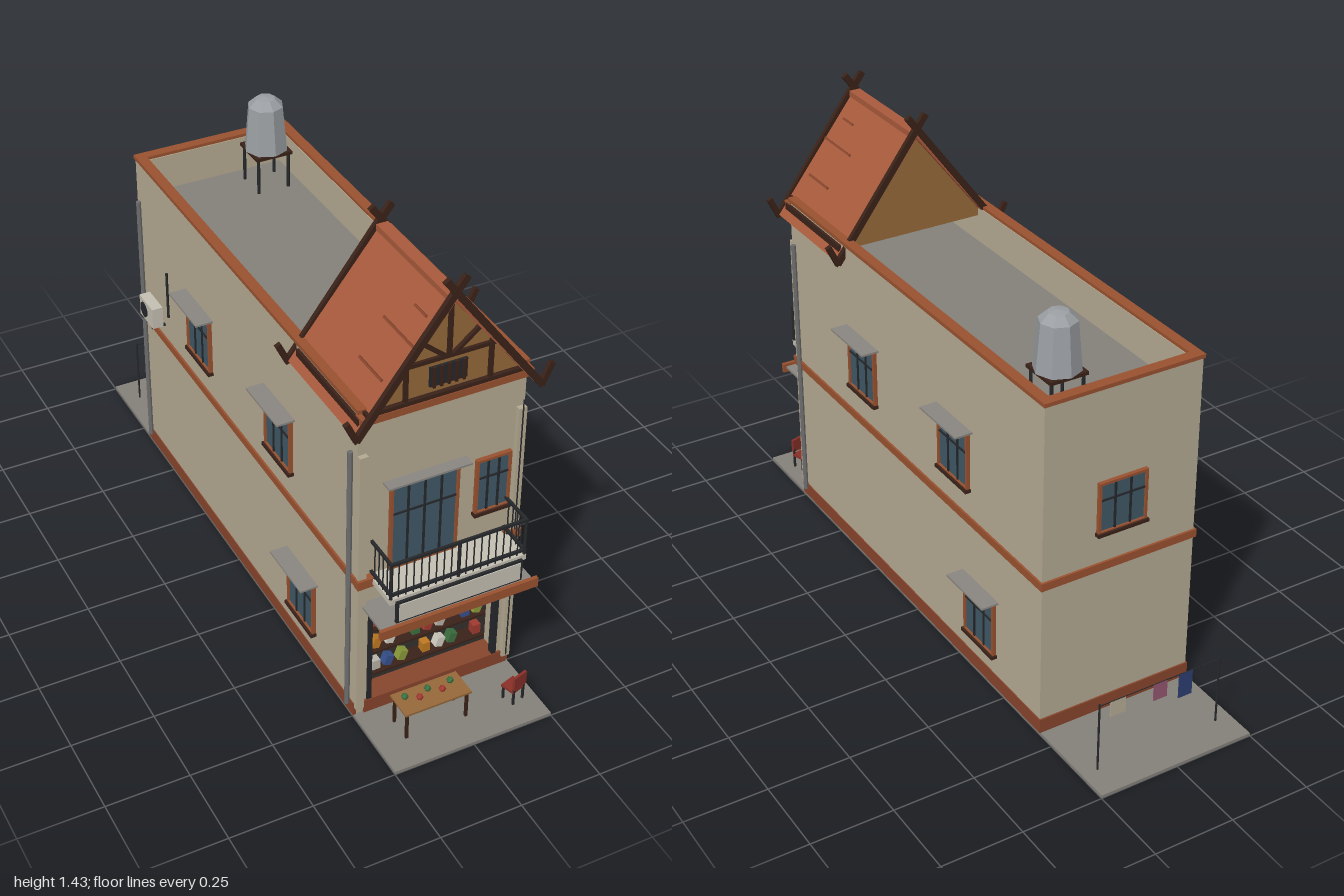
import * as THREE from 'three';

const C = { wall: 0xb5aa92, clay: 0x9a5230, plinth: 0x87452c, roof: 0xa85a3c, wood: 0x96693a, dark: 0x3a2218, iron: 0x25272a,
  glass: 0x3f5866, grey: 0x8a8782, slab: 0x85817b, pipe: 0x6d6d6d, shop: 0x35302d, pale: 0xc4bfb2, tank: 0x9b9fa3, red: 0x8a3028 };
const mats = {};
function mat(color) {
  return mats[color] ??= new THREE.MeshStandardMaterial({ color, flatShading: true, side: THREE.DoubleSide });
}
function add(parent, name, geo, color, x = 0, y = 0, z = 0) {
  const m = new THREE.Mesh(geo, mat(color));
  m.name = name;
  m.position.set(x, y, z);
  parent.add(m);
  return m;
}
// Box given by its extents on each axis
function box(parent, name, color, x0, x1, y0, y1, z0, z1) {
  return add(parent, name, new THREE.BoxGeometry(x1 - x0, y1 - y0, z1 - z0), color, (x0 + x1) / 2, (y0 + y1) / 2, (z0 + z1) / 2);
}
// Beam lying in an xy plane between two points
function beam(parent, name, color, [ax, ay], [bx, by], thick, depth, z) {
  const m = add(parent, name, new THREE.BoxGeometry(thick, Math.hypot(bx - ax, by - ay), depth), color, (ax + bx) / 2, (ay + by) / 2, z);
  m.rotation.z = Math.atan2(ax - bx, by - ay);
  return m;
}
function rod(parent, name, color, a, b, r = 0.003, sides = 6) {
  const p = new THREE.Vector3(...a), q = new THREE.Vector3(...b), d = q.clone().sub(p);
  const m = add(parent, name, new THREE.CylinderGeometry(r, r, d.length(), sides), color);
  m.position.copy(p).add(q).multiplyScalar(0.5);
  m.quaternion.setFromUnitVectors(new THREE.Vector3(0, 1, 0), d.normalize());
}
function group(parent, name) {
  const g = new THREE.Group();
  g.name = name;
  parent.add(g);
  return g;
}
// Framed window facing its own +z; (0, 0) is the middle of the pane
function makeWindow(parent, name, w, h, bars, x, y, z, turn, awning = 0.055, awningW = w + 0.04, sill = true) {
  const g = group(parent, name), a = w / 2, b = h / 2, t = 0.008;
  box(g, 'pane', C.glass, -a, a, -b, b, -0.005, 0.004);
  for (const s of [-1, 1]) {
    box(g, 'jamb', C.clay, s * a - t / 2, s * a + t / 2, -b, b, -0.005, 0.01);
    box(g, 'rail', C.clay, -a - t / 2, a + t / 2, s * b - t / 2, s * b + t / 2, -0.005, 0.01);
  }
  for (let i = 1; i <= bars; i++) {
    const bx = -a + (w * i) / (bars + 1);
    box(g, 'mullion', C.iron, bx - 0.003, bx + 0.003, -b, b, 0, 0.008);
  }
  box(g, 'crossBar', C.iron, -a, a, b * 0.28, b * 0.28 + 0.005, 0, 0.008);
  if (sill) box(g, 'sill', C.dark, -a - 0.008, a + 0.008, -b - 0.01, -b, -0.005, 0.016);
  if (awning) box(g, 'awning', C.grey, -awningW / 2, awningW / 2, b + 0.012, b + 0.018, 0, awning);
  g.position.set(x, y, z);
  g.rotation.y = turn;
}

function makeShell(root) {
  const g = group(root, 'building');
  box(g, 'ground', C.slab, -0.25, 0.25, 0, 0.01, -1, 1);
  box(g, 'mainBody', C.wall, -0.25, 0.25, 0.01, 0.95, -0.69, 0.69);
  box(g, 'flatRoof', C.slab, -0.22, 0.22, 0.95, 0.955, -0.66, 0.74);
  box(g, 'upperFront', C.wall, -0.25, 0.25, 0.39, 0.95, 0.69, 0.755);
  for (const s of [-1, 1]) {
    const l = Math.min(s * 0.25, s * 0.21), r = Math.max(s * 0.25, s * 0.21);
    box(g, 'shopJamb', C.wall, l, r, 0.01, 0.39, 0.69, 0.755);
    box(g, 'pilaster', C.wall, s > 0 ? 0.225 : -0.25, s > 0 ? 0.25 : -0.225, 0.04, 0.93, 0.755, 0.77);
    box(g, 'sideParapet', C.wall, s * 0.235 - 0.015, s * 0.235 + 0.015, 0.95, 1.068, -0.69, 0.755);
    box(g, 'sideCoping', C.clay, s * 0.238 - 0.016, s * 0.238 + 0.016, 1.066, 1.078, -0.695, 0.76);
    box(g, 'sideBand', C.clay, s * 0.25 - 0.006, s * 0.25 + 0.006, 0.495, 0.52, -0.697, 0.757);
    box(g, 'sidePlinth', C.plinth, s * 0.248 - 0.005, s * 0.248 + 0.005, 0.01, 0.055, -0.695, 0.757);
    box(g, 'endParapet', C.wall, -0.22, 0.22, 0.95, 1.068, s > 0 ? 0.725 : -0.69, s > 0 ? 0.755 : -0.66);
    box(g, 'endCoping', C.clay, -0.25, 0.25, 1.066, 1.078, s > 0 ? 0.728 : -0.695, s > 0 ? 0.76 : -0.663);
    box(g, 'frontBand', C.clay, s > 0 ? 0.2 : -0.255, s > 0 ? 0.255 : -0.2, 0.49, 0.518, 0.755, 0.778);
    rod(g, 'downpipe', C.pipe, [s * 0.258, 0.04, 0.73], [s * 0.258, 0.93, 0.73], 0.008, 8);
  }
  rod(g, 'rearDownpipe', C.pipe, [-0.258, 0.04, -0.665], [-0.258, 0.93, -0.665], 0.008, 8);
  rod(g, 'cable', C.iron, [0.235, 0.05, 0.774], [0.235, 0.96, 0.774], 0.002);
  box(g, 'backBand', C.clay, -0.25, 0.25, 0.495, 0.52, -0.697, -0.685);
  box(g, 'backPlinth', C.plinth, -0.25, 0.25, 0.01, 0.055, -0.695, -0.685);
  box(g, 'frontPlinth', C.plinth, -0.22, 0.245, 0.01, 0.055, 0.69, 0.762);

  // Side, back and balcony windows
  const q = Math.PI / 2;
  for (const [s, y, h, zs] of [[1, 0.7, 0.175, [0.3, -0.235]], [1, 0.213, 0.175, [-0.375]], [-1, 0.7, 0.175, [0.3, -0.235]], [-1, 0.213, 0.175, [0.44]]])
    for (const z of zs) makeWindow(g, 'sideWindow', 0.155, h, 2, s * 0.252, y, z, s * q);
  makeWindow(g, 'backWindow', 0.15, 0.155, 2, 0, 0.7, -0.692, Math.PI, 0);
  makeWindow(g, 'balconyDoor', 0.2, 0.28, 3, -0.05, 0.662, 0.758, 0, 0.035, 0.25, false);
  makeWindow(g, 'frontWindow', 0.1, 0.175, 2, 0.16, 0.703, 0.758, 0, 0);
}

function makeGable(root) {
  const g = group(root, 'gableRoof'), z0 = 0.4, z1 = 0.79, mid = (z0 + z1) / 2;
  for (const s of [-1, 1]) {
    beam(g, 'roofSlope', C.roof, [s * 0.27, 1.012], [0, 1.36], 0.014, z1 - z0, mid);
    box(g, 'eaveBeam', C.dark, s * 0.247 - 0.012, s * 0.247 + 0.012, 1.035, 1.058, 0.42, 0.77);
    for (const z of [z0, z1]) {
      beam(g, 'bargeboard', C.dark, [s * 0.275, 1.01], [-s * 0.03, 1.42], 0.02, 0.014, z);
      beam(g, 'upturnedTip', C.dark, [s * 0.272, 1.008], [s * 0.303, 1.073], 0.017, 0.014, z);
    }
    // A few raised tiles on each slope
    for (const [t, len, z] of [[0.35, 0.12, 0.69], [0.62, 0.16, 0.7], [0.8, 0.06, 0.72]])
      beam(g, 'raisedTile', C.plinth, [s * (0.275 * (1 - t) + 0.004), 1.016 + 0.35 * t], [s * (0.275 * (0.985 - t) + 0.004), 1.016 + 0.35 * (t + 0.015)], 0.009, len, z);
  }
  box(g, 'ridge', C.roof, -0.018, 0.018, 1.352, 1.37, z0, z1);
  const tri = new THREE.Shape([[-0.245, 1.04], [0.245, 1.04], [0, 1.352]].map(p => new THREE.Vector2(...p)));
  for (const z of [0.42, 0.755]) add(g, 'gablePanel', new THREE.ExtrudeGeometry(tri, { depth: 0.012, bevelEnabled: false }), C.wood, 0, 0, z);
  // Front timbering
  const z = 0.772;
  box(g, 'frontBeam', C.clay, -0.255, 0.255, 1.04, 1.062, 0.75, 0.782);
  box(g, 'tieBeam', C.dark, -0.24, 0.24, 1.06, 1.074, 0.76, 0.78);
  box(g, 'collarBeam', C.dark, -0.14, 0.14, 1.172, 1.184, 0.76, 0.776);
  box(g, 'kingPost', C.dark, -0.006, 0.006, 1.184, 1.35, 0.76, 0.776);
  for (const s of [-1, 1]) {
    beam(g, 'strut', C.dark, [s * 0.012, 1.18], [s * 0.09, 1.245], 0.011, 0.012, z);
    beam(g, 'post', C.dark, [s * 0.125, 1.07], [s * 0.125, 1.19], 0.011, 0.012, z);
  }
  box(g, 'vent', C.iron, -0.055, 0.055, 1.095, 1.155, 0.765, 0.774);
  for (let i = -2; i <= 2; i++) box(g, 'ventSlat', C.dark, i * 0.022 - 0.004, i * 0.022 + 0.004, 1.093, 1.157, 0.77, 0.78);
}

function makeShop(root) {
  const g = group(root, 'shopFront');
  box(g, 'shopBack', C.shop, -0.21, 0.21, 0.055, 0.39, 0.69, 0.694);
  for (const s of [-1, 1]) box(g, 'doorPost', C.iron, s * 0.203 - 0.007, s * 0.203 + 0.007, 0.055, 0.39, 0.74, 0.76);
  box(g, 'shutterBox', C.iron, -0.21, 0.21, 0.378, 0.392, 0.73, 0.765);
  const goods = [0xb8b4a8, 0x3c7040, 0xc07a22, 0x35508c, 0xa03a30, 0xd0ccc0, 0x8a9a3a];
  const rows = [[-0.165, -0.125, -0.08, -0.005, 0.04, 0.08, 0.16], [-0.165, -0.12, -0.04, 0, 0.04, 0.12, 0.16], [-0.165, -0.085, -0.045, 0, 0.08, 0.12, 0.16]];
  rows.forEach((xs, r) => {
    const y = 0.118 + 0.081 * r;
    box(g, 'shelf', C.dark, -0.18, 0.18, y, y + 0.006, 0.694, 0.74);
    xs.forEach((x, i) => {
      const m = box(g, 'goods', goods[(i * 3 + r * 2) % 7], x - 0.012, x + 0.012, y + 0.008, y + 0.04, 0.705, 0.73);
      m.rotation.z = (i + r) % 3 ? -0.35 : 0;
    });
  });
  // Canopy and blank sign board
  box(g, 'canopy', C.grey, -0.235, 0.235, 0.413, 0.421, 0.755, 0.885);
  box(g, 'canopyEdge', C.clay, -0.245, 0.245, 0.4, 0.43, 0.88, 0.892);
  box(g, 'signFrame', C.iron, -0.195, 0.195, 0.437, 0.508, 0.876, 0.884);
  box(g, 'signPanel', C.pale, -0.187, 0.187, 0.444, 0.501, 0.88, 0.887);
  // Table with greens, and a red chair
  box(g, 'tableTop', C.wood, -0.17, 0.04, 0.1, 0.107, 0.82, 0.91);
  for (const x of [-0.16, 0.03]) for (const z of [0.83, 0.9]) box(g, 'tableLeg', C.dark, x - 0.004, x + 0.004, 0.01, 0.1, z - 0.004, z + 0.004);
  for (let i = 0; i < 5; i++) add(g, 'greens', new THREE.IcosahedronGeometry(0.011, 0), [0x3c7040, 0xa03a30][i % 2], -0.14 + i * 0.036, 0.115, 0.85 + (i % 2) * 0.02);
  const chair = group(g, 'chair');
  box(chair, 'seat', C.red, -0.025, 0.025, 0.045, 0.053, -0.025, 0.02);
  box(chair, 'chairBack', C.red, -0.025, 0.025, 0.06, 0.105, 0.016, 0.024);
  for (const x of [-0.02, 0.02]) for (const z of [-0.02, 0.018]) box(chair, 'chairLeg', C.iron, x - 0.003, x + 0.003, 0, z > 0 ? 0.07 : 0.05, z - 0.003, z + 0.003);
  chair.position.set(0.185, 0.008, 0.9);
  chair.rotation.y = 0.3;
}

function makeBalcony(root) {
  const g = group(root, 'balcony');
  box(g, 'balconyFloor', C.pale, -0.21, 0.21, 0.498, 0.516, 0.755, 0.875);
  for (const y of [0.53, 0.634]) {
    box(g, 'frontRail', C.iron, -0.21, 0.21, y - 0.004, y + 0.004, 0.866, 0.874);
    for (const s of [-1, 1]) box(g, 'sideRail', C.iron, s * 0.206 - 0.004, s * 0.206 + 0.004, y - 0.004, y + 0.004, 0.76, 0.87);
  }
  for (let i = 0; i <= 18; i++) rod(g, 'baluster', C.iron, [-0.206 + i * 0.0229, 0.516, 0.87], [-0.206 + i * 0.0229, 0.636, 0.87], i % 9 ? 0.002 : 0.005);
  for (const s of [-1, 1]) for (let i = 0; i < 4; i++) rod(g, 'sideBaluster', C.iron, [s * 0.206, 0.516, 0.78 + i * 0.023], [s * 0.206, 0.636, 0.78 + i * 0.023], 0.002);
}

function makeExtras(root) {
  // Rooftop water tank on a stand
  const t = group(root, 'waterTank');
  const profile = [[0, 0], [0.068, 0], [0.055, 0.145], [0.03, 0.168], [0, 0.172]].map(p => new THREE.Vector2(...p));
  add(t, 'tank', new THREE.LatheGeometry(profile, 8), C.tank, 0, 1.08, 0);
  box(t, 'stand', C.dark, -0.06, 0.06, 1.07, 1.08, -0.06, 0.06);
  for (const x of [-0.05, 0.05]) for (const z of [-0.05, 0.05]) rod(t, 'standLeg', C.iron, [x, 0.95, z], [x, 1.07, z], 0.005);
  t.position.set(0.125, 0, -0.555);

  // Air conditioner on the right wall
  const a = group(root, 'airConditioner');
  box(a, 'casing', C.pale, -0.297, -0.262, 0.57, 0.64, -0.6, -0.5);
  const fan = add(a, 'fanGrille', new THREE.CylinderGeometry(0.025, 0.025, 0.004, 12), C.iron, -0.298, 0.605, -0.565);
  fan.rotation.z = Math.PI / 2;
  for (const z of [-0.585, -0.515]) box(a, 'bracket', C.iron, -0.295, -0.25, 0.562, 0.57, z - 0.004, z + 0.004);
  rod(a, 'hose', C.iron, [-0.256, 0.62, -0.47], [-0.256, 0.78, -0.47], 0.004);

  // Washing line behind the house
  const w = group(root, 'washingLine');
  for (const s of [-1, 1]) rod(w, 'linePost', C.iron, [s * 0.2, 0.01, -0.905], [s * 0.2, 0.235, -0.905], 0.003);
  rod(w, 'line', C.iron, [-0.2, 0.228, -0.905], [0.2, 0.228, -0.905], 0.0015);
  [[0.14, 0.05, 0.05, 0xb5ab94], [0, 0.045, 0.055, 0x94566f], [-0.085, 0.045, 0.08, 0x2c3d70]].forEach(([x, wd, h, c]) =>
    box(w, 'cloth', c, x - wd / 2, x + wd / 2, 0.228 - h, 0.228, -0.907, -0.904));
}

export function createModel() {
  const root = new THREE.Group();
  root.name = 'shophouse';
  for (const make of [makeShell, makeGable, makeShop, makeBalcony, makeExtras]) make(root);
  return root;
}
